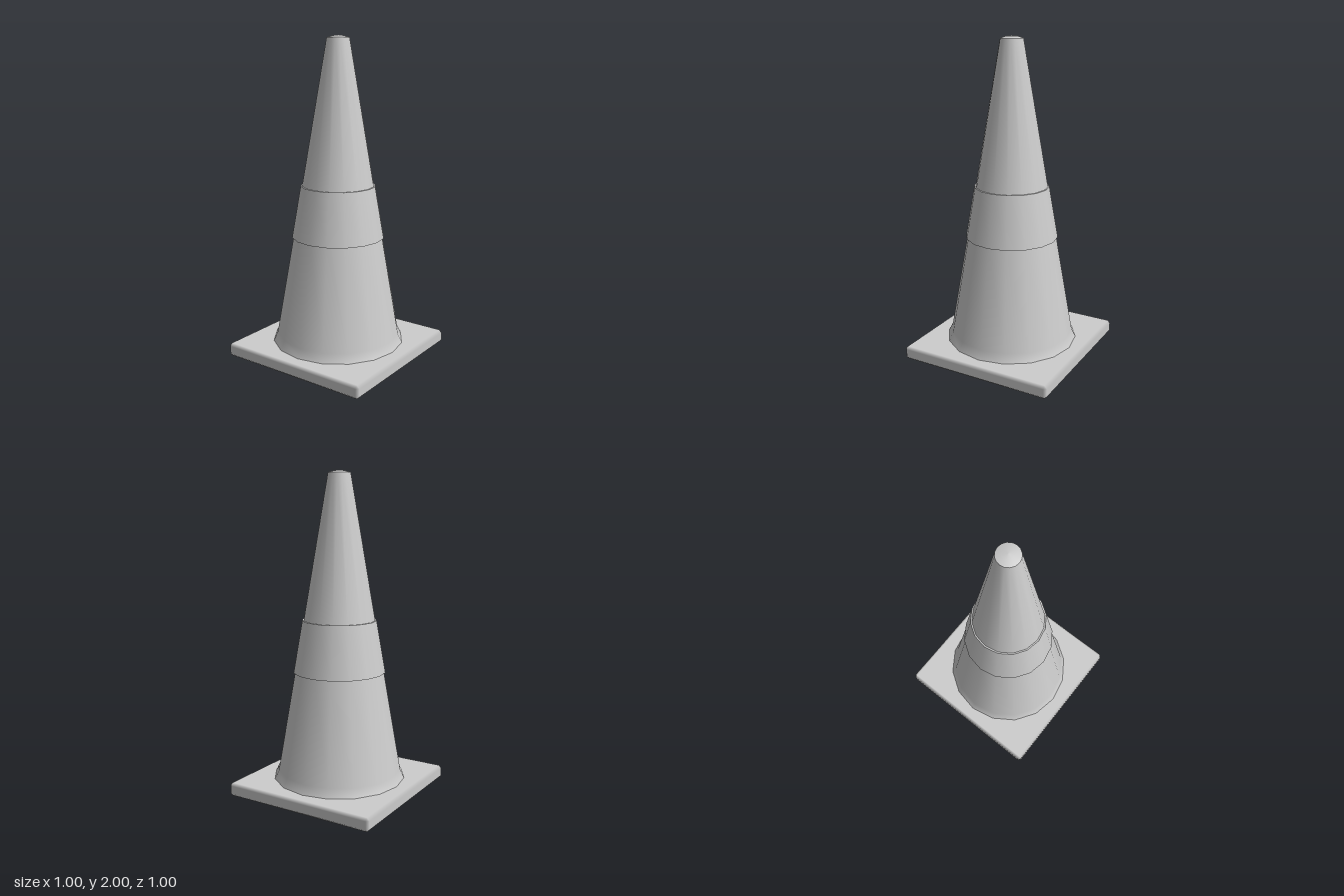
import * as THREE from 'three';
import { ConvexGeometry } from 'three/addons/geometries/ConvexGeometry.js';

const SIDES = 16;

// Slab with one chamfer on every edge; normals follow the main faces so the chamfers shade softly
function chamferedSlab(w, h, d, bevel) {
  const half = [w / 2, h / 2, d / 2];
  const points = [];
  for (let axis = 0; axis < 3; axis++)
    for (const sx of [-1, 1]) for (const sy of [-1, 1]) for (const sz of [-1, 1]) {
      const signs = [sx, sy, sz];
      points.push(new THREE.Vector3(...half.map((v, i) => signs[i] * (i === axis ? v : v - bevel))));
    }
  const geometry = new ConvexGeometry(points);
  const { position, normal } = geometry.attributes;
  for (let i = 0; i < position.count; i++) {
    const p = [position.getX(i), position.getY(i), position.getZ(i)];
    normal.setXYZ(i, ...p.map((v, k) => (Math.abs(v) > half[k] - bevel / 2 ? Math.sign(v) : 0)));
  }
  return geometry;
}

export function createModel() {
  const model = new THREE.Group();
  const grey = new THREE.MeshStandardMaterial({ color: 0xcccccc });
  grey.name = 'light grey';

  const add = (name, geometry, parent = model) => {
    const mesh = new THREE.Mesh(geometry, grey);
    mesh.name = name;
    parent.add(mesh);
    return mesh;
  };
  // Profiles run from bottom to top, as [radius, height]
  const turned = (profile) =>
    new THREE.LatheGeometry(profile.map(([r, y]) => new THREE.Vector2(r, y)), SIDES);

  // Square foot
  add('base', chamferedSlab(1, 0.085, 1, 0.017)).position.y = 0.0425;

  // Tapered body with a flared skirt, and its shallow domed tip
  add('cone', turned([[0.418, 0.083], [0.392, 0.14], [0.282, 0.765], [0.225, 1.09], [0.07, 1.985]]));
  add('tip', turned([[0.07, 1.985], [0.035, 1.996], [0, 2]]));

  // Raised band around the middle, with a lip at each end
  const sleeve = new THREE.Group();
  sleeve.name = 'sleeve';
  model.add(sleeve);
  add('sleeveWall', turned([[0.291, 0.765], [0.234, 1.09]]), sleeve);
  add('sleeveLowerLip', turned([[0.278, 0.765], [0.291, 0.765]]), sleeve);
  add('sleeveUpperLip', turned([[0.234, 1.09], [0.221, 1.09]]), sleeve);

  return model;
}
